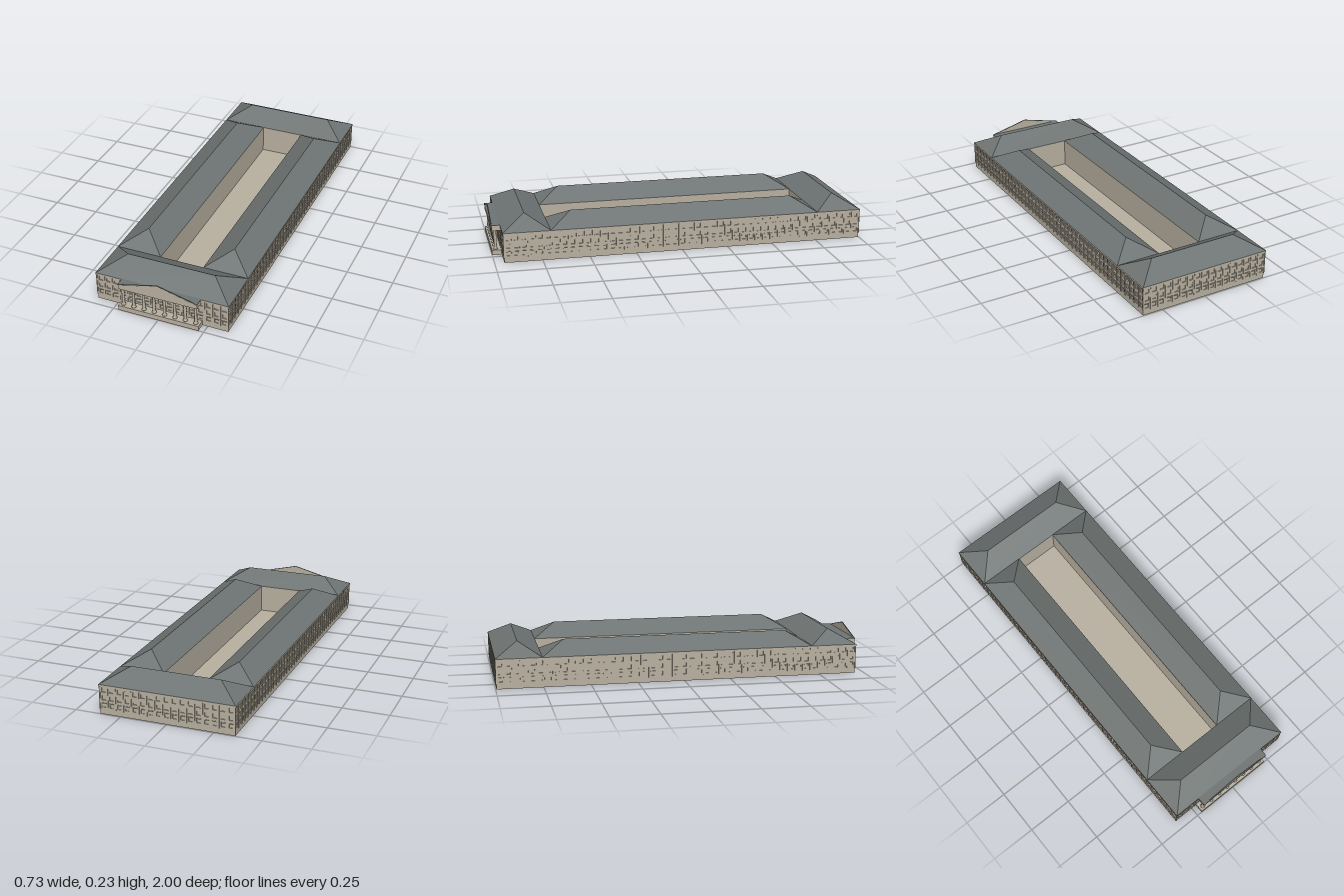
import * as THREE from 'three';
import { mergeGeometries } from 'three/addons/utils/BufferGeometryUtils.js';

const stone = new THREE.MeshStandardMaterial({ color: 0xb8b0a0 });
stone.name = 'stone';
const slate = new THREE.MeshStandardMaterial({ color: 0x6e7473 });
slate.name = 'slate';

const EAVE = 0.16, WALL_TOP = 0.15, PLINTH = 0.027, HALF = 0.362, BACK = -0.996, FRONT = 0.95;
const COURT_X = 0.122, COURT_BACK = -0.755, COURT_FRONT = 0.705;

function add(parent, name, geometry, material, x = 0, y = 0, z = 0) {
  const mesh = new THREE.Mesh(geometry, material);
  mesh.name = name;
  mesh.position.set(x, y, z);
  parent.add(mesh);
  return mesh;
}

// box given by its limits on each axis
function block(x0, x1, y0, y1, z0, z1) {
  return new THREE.BoxGeometry(x1 - x0, y1 - y0, z1 - z0)
    .translate((x0 + x1) / 2, (y0 + y1) / 2, (z0 + z1) / 2);
}

// hipped roof, ridge along x, all slopes at the same pitch
function hipRoof(length, depth, height) {
  const l = length / 2, d = depth / 2, r = l - d;
  const g = new THREE.BufferGeometry();
  g.setAttribute('position', new THREE.Float32BufferAttribute([
    -l, 0, d, l, 0, d, l, 0, -d, -l, 0, -d, -r, height, 0, r, height, 0], 3));
  g.setIndex([0, 1, 5, 0, 5, 4, 2, 3, 4, 2, 4, 5, 1, 2, 5, 3, 0, 4]);
  const flat = g.toNonIndexed();
  flat.computeVertexNormals();
  return flat;
}

// outer wall facing +z with recessed windows, pilasters and mouldings
function facade(name, width, bays) {
  const group = new THREE.Group();
  group.name = name;
  const half = width / 2, step = width / bays, t = 0.004, w = 0.01;
  const rows = [[0.037, 0.058], [0.078, 0.1], [0.12, 0.143]];
  const wall = new THREE.Shape([[-half, 0], [half, 0], [half, WALL_TOP], [-half, WALL_TOP]]
    .map(([x, y]) => new THREE.Vector2(x, y)));
  const panes = [], pilasters = [], mouldings = [];
  for (let i = 0; i < bays; i++) {
    const x = -half + (i + 0.5) * step;
    rows.forEach(([y0, y1], row) => {
      wall.holes.push(new THREE.Path([[x - w, y0], [x - w, y1], [x + w, y1], [x + w, y0]]
        .map(([px, py]) => new THREE.Vector2(px, py))));
      panes.push(block(x - w, x + w, y0, y1, -t - 0.002, -t));
      if (row === 0) mouldings.push(block(x - 0.013, x + 0.013, 0.058, 0.062, 0, 0.003));
      else mouldings.push(block(x - 0.011, x + 0.011, y0 - 0.002, y0, 0, 0.002));
    });
  }
  for (let i = 0; i <= bays; i++) {
    const x = -half + i * step;
    pilasters.push(block(x - 0.003, x + 0.003, PLINTH, WALL_TOP, -0.001, 0.003));
  }
  add(group, 'wall', new THREE.ExtrudeGeometry(wall, { depth: t, bevelEnabled: false }), stone, 0, 0, -t);
  add(group, 'windowPanes', mergeGeometries(panes), stone);
  add(group, 'pilasters', mergeGeometries(pilasters), stone);
  add(group, 'windowMouldings', mergeGeometries(mouldings), stone);
  return group;
}

function buildPortico() {
  const portico = new THREE.Group();
  portico.name = 'portico';
  add(portico, 'porticoBase', block(-0.222, 0.222, 0, PLINTH, 0.95, 1), stone);
  add(portico, 'entablature', block(-0.216, 0.216, 0.132, EAVE, 0.95, 0.998), stone);
  add(portico, 'porticoRoof', block(-0.218, 0.218, EAVE, 0.162, 0.95, 0.999), slate);

  // pediment: a thin gable with a slate edge on its slopes
  const gable = new THREE.Shape();
  gable.moveTo(-0.216, 0.157).lineTo(0.216, 0.157).lineTo(0, 0.211);
  add(portico, 'pediment', new THREE.ExtrudeGeometry(gable, { depth: 0.004, bevelEnabled: false }),
    stone, 0, 0, 0.996);
  const edge = new THREE.Shape();
  edge.moveTo(-0.218, 0.158).lineTo(0, 0.211).lineTo(0.218, 0.158)
    .lineTo(0.218, 0.16).lineTo(0, 0.214).lineTo(-0.218, 0.16);
  add(portico, 'pedimentEdge', new THREE.ExtrudeGeometry(edge, { depth: 0.005, bevelEnabled: false }),
    slate, 0, 0, 0.995);

  // round columns with moulded base and capital
  const profile = [[0, 0], [0.012, 0], [0.012, 0.004], [0.009, 0.008], [0.008, 0.012],
    [0.007, 0.097], [0.01, 0.101], [0.01, 0.106], [0, 0.106]].map(([x, y]) => new THREE.Vector2(x, y));
  const column = new THREE.LatheGeometry(profile, 16);
  for (let i = 0; i < 8; i++) add(portico, 'column', column, stone, (i - 3.5) * 0.0571, PLINTH, 0.98);
  return portico;
}

export function createModel() {
  const model = new THREE.Group();
  model.name = 'courtyardBuilding';

  // outer walls
  const length = FRONT - BACK, mid = (FRONT + BACK) / 2;
  const walls = [
    ['frontFacade', 2 * HALF, 17, 0, FRONT, 0],
    ['backFacade', 2 * HALF, 17, 0, BACK, Math.PI],
    ['leftFacade', length, 46, HALF, mid, Math.PI / 2],
    ['rightFacade', length, 46, -HALF, mid, -Math.PI / 2]];
  for (const [name, width, bays, x, z, turn] of walls) {
    const wall = facade(name, width, bays);
    wall.position.set(x, 0, z);
    wall.rotation.y = turn;
    model.add(wall);
  }

  // courtyard floor and inner walls
  add(model, 'courtyardFloor', block(-COURT_X, COURT_X, 0, 0.004, COURT_BACK, COURT_FRONT), stone);
  add(model, 'courtyardFrontWall', block(-0.36, 0.36, 0, WALL_TOP, COURT_FRONT, COURT_FRONT + 0.003), stone);
  add(model, 'courtyardBackWall', block(-0.36, 0.36, 0, WALL_TOP, COURT_BACK - 0.003, COURT_BACK), stone);
  for (const s of [-1, 1]) {
    add(model, 'courtyardSideWall', block(-0.0015, 0.0015, 0, WALL_TOP, COURT_BACK, COURT_FRONT),
      stone, s * (COURT_X + 0.0015));
  }

  // cornice slabs and hipped roofs over the end wings
  for (const [name, z0, z1] of [['front', COURT_FRONT - 0.002, 0.954], ['back', -1, COURT_BACK + 0.002]]) {
    add(model, name + 'Cornice', block(-0.367, 0.367, WALL_TOP, EAVE, z0, z1), stone);
    add(model, name + 'Roof', hipRoof(0.732, z1 - z0, 0.069), slate, 0, EAVE, (z0 + z1) / 2);
  }

  // cornice slabs and hipped roofs over the side wings
  const inner = COURT_X - 0.002, wing = 0.367 - inner;
  for (const s of [-1, 1]) {
    const x = s * (inner + wing / 2), z = (COURT_BACK + COURT_FRONT) / 2;
    add(model, 'sideCornice', block(-wing / 2, wing / 2, WALL_TOP, EAVE, COURT_BACK + 0.002, COURT_FRONT - 0.002),
      stone, x);
    add(model, 'sideRoof', hipRoof(COURT_FRONT - COURT_BACK, wing, 0.069), slate, x, EAVE, z)
      .rotation.y = Math.PI / 2;
  }

  model.add(buildPortico());
  return model;
}
